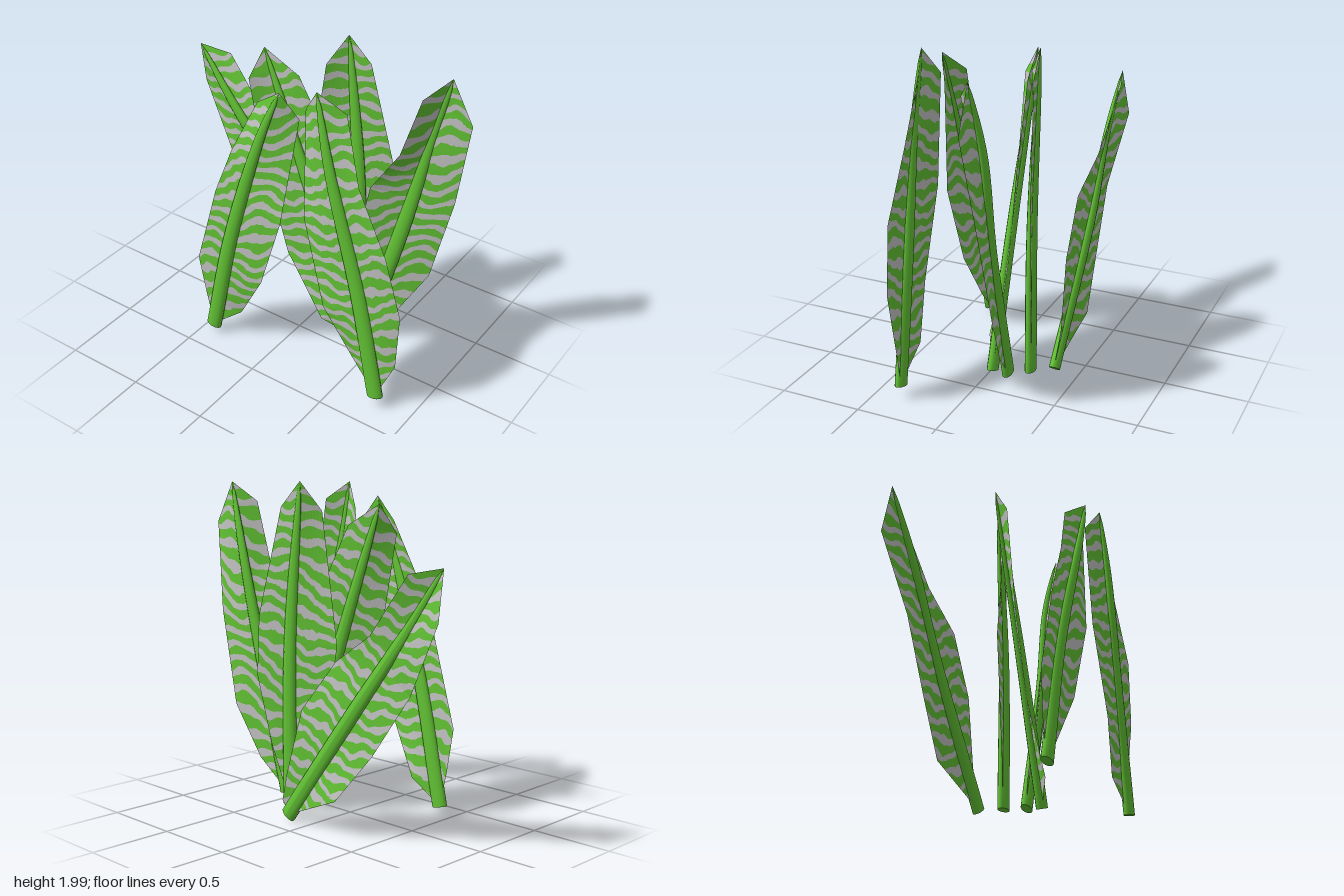
import * as THREE from 'three';

const green = new THREE.MeshStandardMaterial({ color: 0x62c234, side: THREE.DoubleSide });
green.name = 'leafGreen';
const grey = new THREE.MeshStandardMaterial({ color: 0xc2c2c2, side: THREE.DoubleSide });
grey.name = 'stripeGrey';

const vec = ([z, y, x]) => new THREE.Vector3(x, y, z);

// Wavy stripe pattern: one whole number per green and grey pair
const phase = (v, seed) => (v.y - 0.28 * v.z) * 10.4 + seed
  + 0.36 * Math.sin(10 * v.z + 5 * v.y + seed) + 0.2 * Math.sin(27 * v.z - 11 * v.y + seed * 2)
  + 0.1 * Math.sin(55 * v.z + 31 * v.y);

// Keep the part of a polygon where sign * (p - limit) >= 0
function clip(poly, limit, sign) {
  const out = [];
  poly.forEach((a, i) => {
    const b = poly[(i + 1) % poly.length];
    const da = sign * (a.p - limit), db = sign * (b.p - limit);
    if (da >= 0) out.push(a);
    if (da * db < 0) out.push({ v: a.v.clone().lerp(b.v, da / (da - db)), p: limit });
  });
  return out;
}

// Cut a triangle along the stripe borders into the two colour lists
function addStriped(corners, seed, lists) {
  const tri = corners.map((v) => ({ v, p: phase(v, seed) }));
  const ps = tri.map((c) => c.p);
  for (let k = Math.floor(Math.min(...ps)); k <= Math.max(...ps); k++) {
    [[k, k + 0.56], [k + 0.56, k + 1]].forEach(([low, high], c) => {
      const poly = clip(clip(tri, low, 1), high, -1);
      for (let i = 2; i < poly.length; i++) {
        for (const q of [poly[0], poly[i - 1], poly[i]]) lists[c].push(q.v.x, q.v.y, q.v.z);
      }
    });
  }
}

// Half of a blade, spanned between the rib and a jagged outer edge
function addHalf(rib, edge, seed, lists) {
  const samples = rib.getSpacedPoints(80);
  const nearest = (p) => samples.reduce((a, b) => (b.distanceTo(p) < a.distanceTo(p) ? b : a));
  const outer = [samples[0], ...edge.map(vec), samples[80]];
  const inner = [samples[0], ...edge.map((e) => nearest(vec(e))), samples[80]];
  const N = 8;
  for (let s = 0; s < outer.length - 1; s++) {
    const at = (i, j) => inner[s].clone().lerp(inner[s + 1], i / N)
      .lerp(outer[s].clone().lerp(outer[s + 1], i / N), j / N);
    for (let i = 0; i < N; i++) {
      for (let j = 0; j < N; j++) {
        addStriped([at(i, j), at(i + 1, j), at(i + 1, j + 1)], seed, lists);
        addStriped([at(i, j), at(i + 1, j + 1), at(i, j + 1)], seed, lists);
      }
    }
  }
}

// Tapered oval rib, flattened in x
function makeRib(curve) {
  const rows = 24, sides = 12, radius = 0.052;
  const geo = new THREE.TubeGeometry(curve, rows, radius, sides);
  const pos = geo.attributes.position;
  const v = new THREE.Vector3();
  for (let i = 0; i < pos.count; i++) {
    const u = Math.floor(i / (sides + 1)) / rows;
    const c = curve.getPointAt(u);
    v.fromBufferAttribute(pos, i).sub(c).multiplyScalar(Math.sqrt(1 - u * u));
    v.x *= 0.6;
    v.add(c);
    pos.setXYZ(i, v.x, v.y, v.z);
  }
  geo.computeVertexNormals();
  const group = new THREE.Group();
  group.name = 'rib';
  const stalk = new THREE.Mesh(geo, green);
  stalk.name = 'stalk';
  // Flat cut at the foot
  const cap = new THREE.Mesh(new THREE.CircleGeometry(radius, sides), green);
  cap.name = 'stalkEnd';
  cap.position.copy(curve.getPointAt(0));
  cap.lookAt(cap.position.clone().sub(curve.getTangentAt(0)));
  const holder = new THREE.Group();
  holder.name = 'stalkFoot';
  holder.scale.x = 0.6;
  holder.position.x = cap.position.x * 0.4;
  holder.add(cap);
  group.add(stalk, holder);
  return group;
}

// One leaf; all points are [z, y, x]
function makeLeaf(name, spine, front, back, seed) {
  const leaf = new THREE.Group();
  leaf.name = name;
  const rib = new THREE.CatmullRomCurve3(spine.map(vec));
  const lists = [[], []];
  addHalf(rib, front, seed, lists);
  addHalf(rib, back, seed, lists);
  lists.forEach((list, c) => {
    const geo = new THREE.BufferGeometry();
    geo.setAttribute('position', new THREE.Float32BufferAttribute(list, 3));
    geo.computeVertexNormals();
    const mesh = new THREE.Mesh(geo, c ? grey : green);
    mesh.name = c ? 'bladeGreyStripes' : 'bladeGreenStripes';
    leaf.add(mesh);
  });
  leaf.add(makeRib(rib));
  return leaf;
}

export function createModel() {
  const model = new THREE.Group();
  model.name = 'stripedLeaves';
  model.add(
    makeLeaf('frontLeaf', [[0.39, 0.09, 0.16], [0.62, 0.95, 0.165], [0.75, 1.56, 0.185], [0.87, 1.98, 0.16]],
      [[0.59, 0.28, 0.2], [0.77, 0.6, 0.24], [0.91, 1.18, 0.22], [1.0, 1.73, 0.17]],
      [[0.32, 0.25, 0.12], [0.33, 0.65, 0.07], [0.45, 1.2, 0.06], [0.63, 1.48, 0.06], [0.75, 1.86, 0.06]], 0),
    makeLeaf('uprightLeaf', [[0.265, 0.06, 0.25], [0.255, 1.05, 0.25], [0.16, 2.0, 0.25]],
      [[0.37, 0.42, 0.3], [0.46, 0.84, 0.33], [0.45, 1.2, 0.32], [0.3, 1.85, 0.27]],
      [[0.14, 0.3, 0.2], [0.02, 0.68, 0.16], [-0.04, 1.05, 0.15], [0.07, 1.83, 0.16]], 1.3),
    makeLeaf('leaningLeaf', [[0.16, 0.04, 0.36], [-0.41, 0.79, 0.355], [-0.74, 1.24, 0.325], [-0.99, 1.59, 0.33]],
      [[0.19, 0.13, 0.38], [0.14, 0.3, 0.39], [0.03, 0.7, 0.37], [-0.22, 1.01, 0.34], [-0.5, 1.19, 0.36], [-0.8, 1.55, 0.39]],
      [[-0.27, 0.22, 0.4], [-0.52, 0.52, 0.36], [-0.77, 0.89, 0.33], [-1.0, 1.31, 0.38]], 2.1),
    makeLeaf('middleLeaf', [[0.37, 0.07, 0.05], [0.06, 0.98, 0.05], [-0.28, 1.88, 0.05]],
      [[0.42, 0.4, 0.12], [0.33, 0.8, 0.14], [0.19, 1.25, 0.12], [-0.06, 1.75, 0.08]],
      [[0.2, 0.2, -0.05], [-0.05, 0.6, -0.05], [-0.2, 1.1, -0.05], [-0.32, 1.71, -0.05]], 3.4),
    makeLeaf('rightFrontLeaf', [[0.78, 0.09, -0.34], [0.64, 0.8, -0.35], [0.46, 1.55, -0.38], [0.37, 1.98, -0.37]],
      [[0.88, 0.33, -0.3], [0.91, 0.72, -0.33], [0.82, 1.1, -0.36], [0.63, 1.48, -0.35], [0.52, 1.87, -0.31]],
      [[0.59, 0.28, -0.31], [0.42, 0.6, -0.36], [0.27, 1.15, -0.34], [0.26, 1.82, -0.31]], 4.2),
    makeLeaf('rightBackLeaf', [[-0.42, 0.06, -0.34], [-0.25, 0.8, -0.35], [0.01, 1.6, -0.38], [0.13, 1.9, -0.37]],
      [[-0.23, 0.21, -0.3], [-0.04, 0.55, -0.34], [0.12, 1.05, -0.36], [0.22, 1.74, -0.31]],
      [[-0.47, 0.28, -0.34], [-0.51, 0.55, -0.35], [-0.35, 1.1, -0.35], [-0.22, 1.42, -0.35], [-0.06, 1.76, -0.31]], 5.5),
  );
  return model;
}
